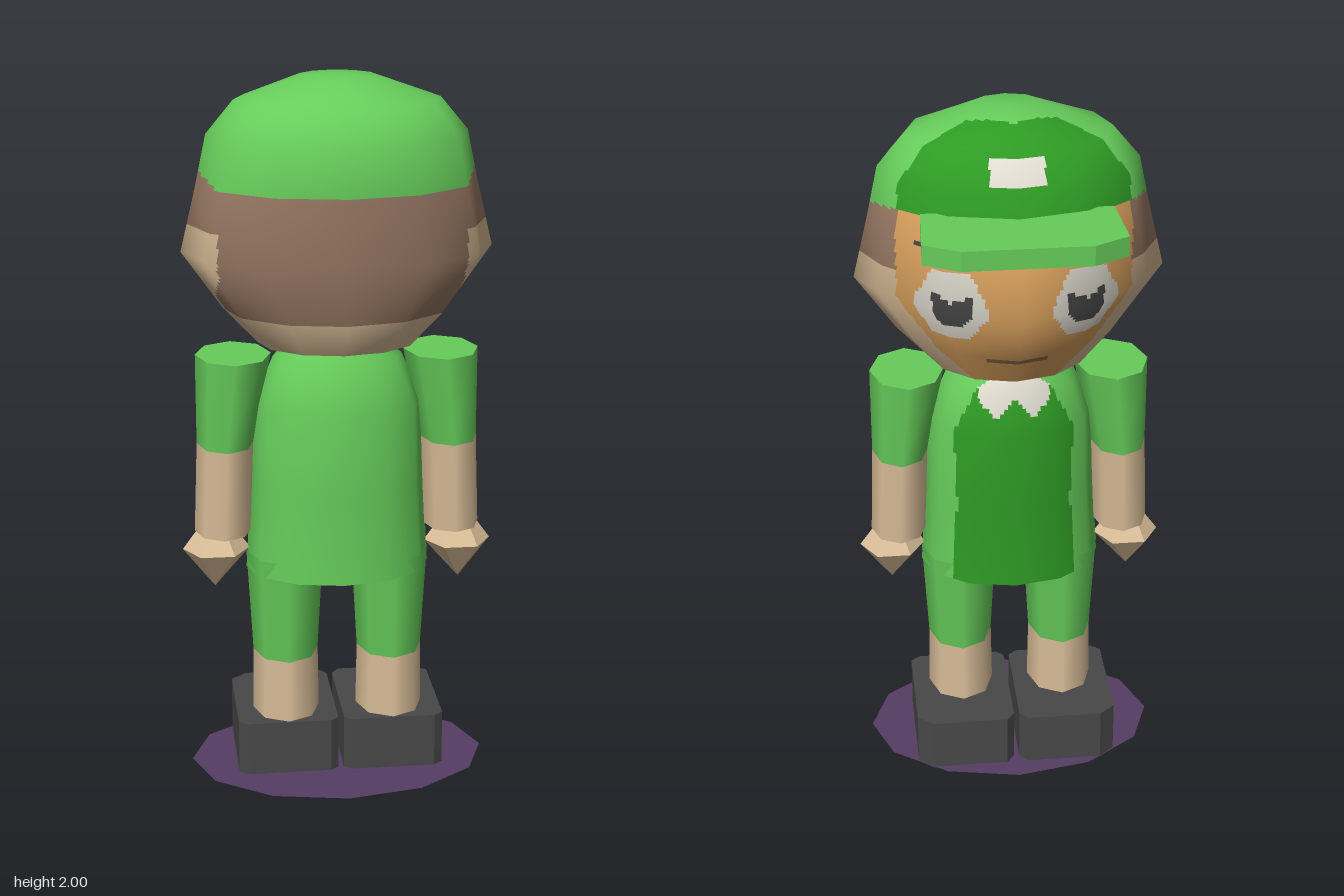
import * as THREE from 'three';

const colours = {
  green: 0x66cc5a, darkGreen: 0x2e9a24, face: 0xdda45f, skin: 0xdcc09a, hair: 0x9a7a65,
  white: 0xe0dcd0, dark: 0x484848, purple: 0x553d63, mouth: 0x8c6a48,
};

// One cross-section: height, half width, front z, back z, centre x, front pointedness
const ring = (y, rx, zf, zb, cx = 0, p = 1, cz = 0.08) => ({ y, rx, cx, p, cz, rf: cz - zf, rb: zb - cz });
const round = (y, cx, rx, rz) => ring(y, rx, 0.08 - rz, 0.08 + rz, cx);
const centre = (r) => ({ ...r, rx: 0, rf: 0, rb: 0 });

function ringPoint(r, a) {
  const c = Math.cos(a), s = Math.sin(a);
  const z = s > 0 ? r.rb * s : -r.rf * Math.pow(Math.abs(s), r.p);
  return new THREE.Vector3(r.cx + r.rx * c, r.y, r.cz + z);
}

const lerp4 = (q, u, v) => q[0].clone().lerp(q[1], u).lerp(q[2].clone().lerp(q[3], u), v);

// Skin through rings, bottom to top; each cell can be subdivided and painted by region
function loft(rings, n, paint, { subU = 1, subV = 1, flat = false } = {}) {
  const m = rings.length;
  const P = rings.map((r) => Array.from({ length: n }, (_, i) => ringPoint(r, (i / n) * Math.PI * 2)));
  const N = P.map((row, j) => row.map((_, i) => {
    const du = row[(i + 1) % n].clone().sub(row[(i + n - 1) % n]);
    const dv = P[Math.min(j + 1, m - 1)][i].clone().sub(P[Math.max(j - 1, 0)][i]);
    const normal = dv.cross(du);
    return normal.length() < 1e-7 ? new THREE.Vector3(0, j ? 1 : -1, 0) : normal.normalize();
  }));
  const buckets = {};
  for (let j = 0; j < m - 1; j++) for (let i = 0; i < n; i++) {
    const k = (i + 1) % n;
    const cell = (G) => [G[j][i], G[j][k], G[j + 1][i], G[j + 1][k]];
    const qp = cell(P), qn = cell(N);
    for (let b = 0; b < subV; b++) for (let a = 0; a < subU; a++) {
      const key = paint(lerp4(qp, (a + 0.5) / subU, (b + 0.5) / subV));
      const out = (buckets[key] ??= { pos: [], nor: [] });
      for (const [x, y] of [[0, 0], [0, 1], [1, 0], [1, 0], [0, 1], [1, 1]]) {
        const u = (a + x) / subU, v = (b + y) / subV;
        out.pos.push(...lerp4(qp, u, v).toArray());
        out.nor.push(...lerp4(qn, u, v).normalize().toArray());
      }
    }
  }
  const geo = new THREE.BufferGeometry(), keys = Object.keys(buckets);
  let start = 0;
  keys.forEach((key, g) => {
    const count = buckets[key].pos.length / 3;
    geo.addGroup(start, count, g);
    start += count;
  });
  const join = (name) => new THREE.Float32BufferAttribute(keys.map((k) => buckets[k][name]).flat(), 3);
  geo.setAttribute('position', join('pos'));
  geo.setAttribute('normal', join('nor'));
  if (flat) geo.computeVertexNormals();
  return { geo, keys };
}

// Plate from an (x, z) outline between two heights
function plate(points, y0, y1) {
  const shape = new THREE.Shape(points.map(([x, z]) => new THREE.Vector2(x, -z)));
  const geo = new THREE.ExtrudeGeometry(shape, { depth: y1 - y0, bevelEnabled: false });
  return geo.rotateX(-Math.PI / 2).translate(0, y0, 0);
}

// Cap edge, rising from nape to brow
function capEdge(z) {
  return 1.77 - 0.06 * THREE.MathUtils.clamp((z + 0.06) / 0.28, 0, 1);
}

// Front edge of the pale cap panel
function panelEdge(x) {
  if (x < 0.04) return -0.035 + x * 0.4;
  if (x < 0.12) return -0.02 + (x - 0.04) * 0.5;
  return 0.02 - (x - 0.12) * 0.38;
}

function paintHead({ x, y, z }) {
  const ax = Math.abs(x);
  if (y > capEdge(z)) {
    if (ax < 0.073 && y > 1.83 && z > -0.165 + ax * 0.15 && z < -0.122 + ax * 0.15) return 'white';
    return z < panelEdge(ax) ? 'darkGreen' : 'green';
  }
  if (z < -0.06) {
    const dx = Math.abs(ax - 0.18), dy = y - 1.53;
    // heart-shaped pupil inside a hexagonal eye
    if (dx < 0.05 && dy < 0.02 + dx * 0.5 && dy > -0.055 + Math.max(0, dx - 0.025) * 1.6) return 'dark';
    if (Math.abs(dy) < 0.1 && dx < 0.1 - Math.abs(dy) * 0.5) return 'white';
    if (ax > 0.18 && ax < 0.27 && Math.abs(y - 1.69) < 0.009) return 'dark';
    if (ax < 0.085 && Math.abs(y - 1.345) < 0.01) return 'mouth';
    return 'face';
  }
  if (y > 1.6 || (y > 1.36 && z > 0.1 && Math.abs(x) < 0.335)) return 'hair';
  return 'skin';
}

function paintTorso({ x, y, z }) {
  const ax = Math.abs(x);
  if (z > -0.04) return 'green';
  // pointed collar
  const hem = 1.14 + Math.abs(ax - 0.055) * 1.1;
  return ax < 0.1 && y > hem ? 'white' : 'darkGreen';
}

export function createModel() {
  const model = new THREE.Group();
  model.name = 'capBoy';
  const mats = {};
  for (const [name, color] of Object.entries(colours)) {
    mats[name] = new THREE.MeshStandardMaterial({ color });
    mats[name].name = name;
  }
  mats.purple.side = THREE.DoubleSide;
  const add = (name, geo, material, parent = model) => {
    const mesh = new THREE.Mesh(geo, material);
    mesh.name = name;
    parent.add(mesh);
    return mesh;
  };
  const addLoft = (name, rings, n, paint, options, parent) => {
    const fn = typeof paint === 'string' ? () => paint : paint;
    const { geo, keys } = loft(rings, n, fn, options);
    add(name, geo, keys.map((k) => mats[k]), parent);
  };

  // Head with face, hair and cap
  const head = [
    ring(1.26, 0.22, -0.09, 0.25, 0, 1.2),
    ring(1.36, 0.315, -0.155, 0.32, 0, 1.5),
    ring(1.52, 0.428, -0.26, 0.337, 0, 2),
    ring(1.7, 0.385, -0.215, 0.365, 0, 1.2),
    ring(1.84, 0.355, -0.18, 0.353),
    ring(1.93, 0.28, -0.12, 0.29),
    ring(1.99, 0.11, -0.03, 0.19),
    ring(2.0, 0, 0.08, 0.08),
  ];
  addLoft('head', head, 12, paintHead, { subU: 20, subV: 14 });
  addLoft('headUnderside', [centre(head[0]), head[0]], 12, 'skin');
  add('capVisor', plate([[-0.255, -0.13], [0.255, -0.13], [0.265, -0.33], [0.17, -0.383],
    [-0.17, -0.383], [-0.265, -0.33]].reverse(), 1.73, 1.785), mats.green);

  // Shirt
  const torso = [
    ring(0.6, 0.26, -0.1, 0.262),
    ring(0.85, 0.245, -0.09, 0.255),
    ring(1.09, 0.235, -0.105, 0.267),
    ring(1.22, 0.18, -0.07, 0.215),
    ring(1.262, 0.12, -0.045, 0.19),
  ];
  addLoft('shirt', torso, 12, paintTorso, { subU: 10, subV: 10 });
  addLoft('shirtUnderside', [centre(torso[0]), torso[0]], 12, 'green');

  for (const s of [1, -1]) {
    const side = s > 0 ? 'left' : 'right';
    const limb = new THREE.Group();
    limb.name = side + 'Limbs';
    model.add(limb);
    // Arm
    const shoulder = round(1.23, s * 0.29, 0.105, 0.13);
    const cuff = round(0.975, s * 0.315, 0.08, 0.112);
    const wrist = round(0.715, s * 0.325, 0.08, 0.1);
    addLoft(side + 'Sleeve', [cuff, shoulder], 8, 'green', {}, limb);
    addLoft(side + 'SleeveTop', [shoulder, centre(shoulder)], 8, 'green', {}, limb);
    addLoft(side + 'Forearm', [wrist, cuff], 8, 'skin', {}, limb);
    addLoft(side + 'ForearmEnd', [centre(wrist), wrist], 8, 'skin', {}, limb);
    addLoft(side + 'Hand', [round(0.545, s * 0.35, 0, 0), round(0.66, s * 0.345, 0.095, 0.09),
      round(0.722, s * 0.345, 0.05, 0.05)], 6, 'skin', { flat: true }, limb);
    // Leg
    const knee = round(0.345, s * 0.15, 0.093, 0.115);
    addLoft(side + 'TrouserLeg', [knee, round(0.65, s * 0.15, 0.11, 0.135)], 8, 'green', {}, limb);
    addLoft(side + 'Shin', [round(0.1, s * 0.15, 0.097, 0.117), knee], 8, 'skin', {}, limb);
    // Shoe
    const outline = [[0.008, 0.18], [0.03, 0.2], [0.27, 0.2], [0.295, 0.18],
      [0.295, -0.115], [0.25, -0.153], [0.03, -0.153], [0.008, -0.125]];
    add(side + 'Shoe', plate(outline.map(([x, z]) => [s * x, z]), 0, 0.162), mats.dark, limb);
  }

  // Ground disc
  const disc = new THREE.CircleGeometry(1, 12).rotateX(-Math.PI / 2).scale(0.425, 1, 0.3).translate(0, 0.004, 0.08);
  add('baseDisc', disc, mats.purple);
  return model;
}
